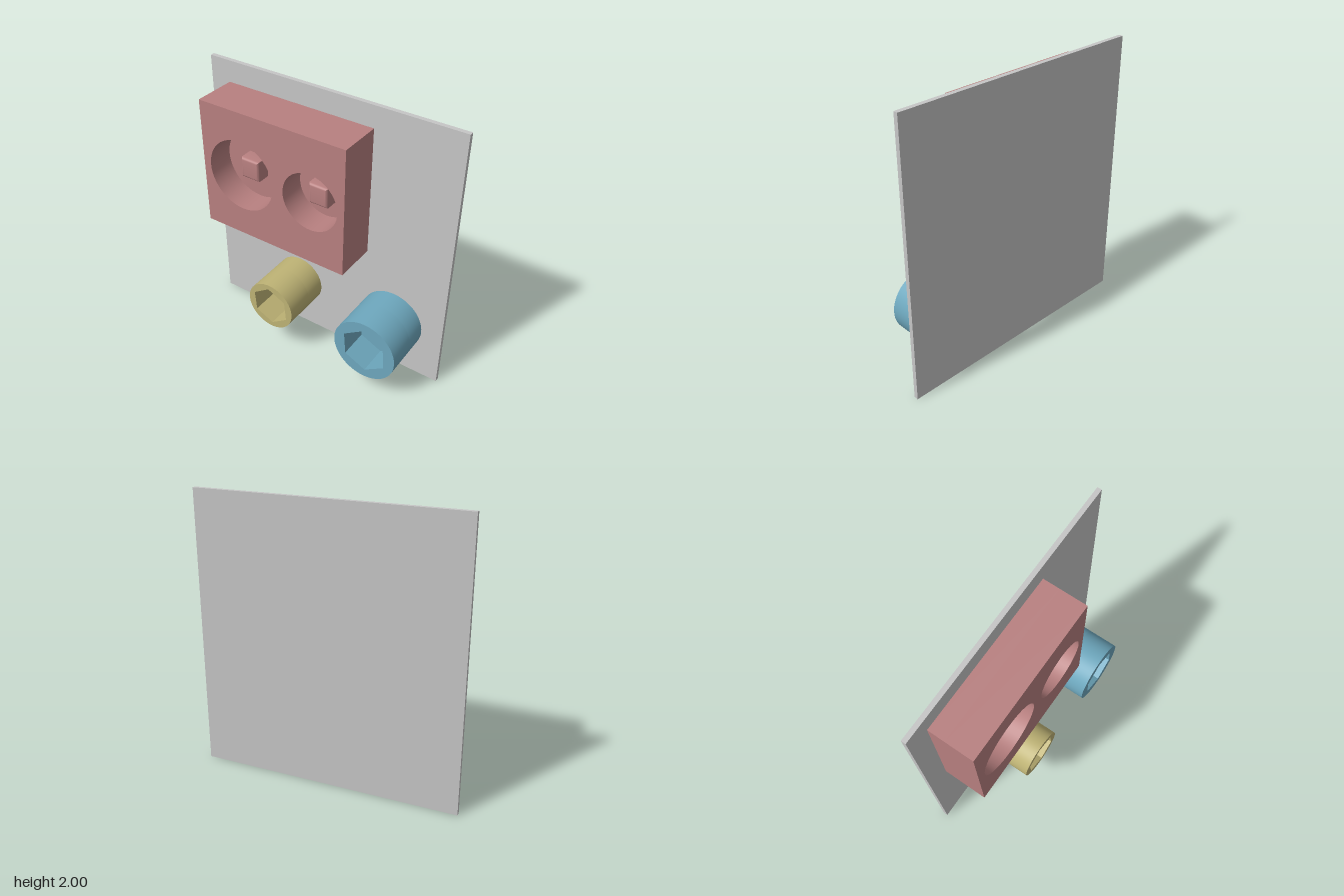
import * as THREE from 'three';
import { toCreasedNormals } from 'three/addons/utils/BufferGeometryUtils.js';

const PLATE_FRONT = -0.173;

function material(name, color) {
  const m = new THREE.MeshStandardMaterial({ color });
  m.name = name;
  return m;
}

function addMesh(parent, name, geometry, mat) {
  const mesh = new THREE.Mesh(geometry, mat);
  mesh.name = name;
  parent.add(mesh);
  return mesh;
}

// Regular polygon; many sides give a circle
function polygon(cx, cy, r, sides, start = 0) {
  return Array.from({ length: sides }, (_, i) => {
    const a = start + (i / sides) * Math.PI * 2;
    return new THREE.Vector2(cx + r * Math.cos(a), cy + r * Math.sin(a));
  });
}

function rectangle(x0, y0, x1, y1) {
  return [[x0, y0], [x1, y0], [x1, y1], [x0, y1]].map(p => new THREE.Vector2(...p));
}

// Prism along z between two depths, with optional holes
function prism(outline, holes, z0, z1) {
  const shape = new THREE.Shape(outline);
  shape.holes = holes.map(h => new THREE.Path(h));
  const geo = new THREE.ExtrudeGeometry(shape, { depth: z1 - z0, bevelEnabled: false });
  geo.translate(0, 0, z0);
  return toCreasedNormals(geo, 0.4);
}

// Solid base plus pierced front, making blind recesses
function recessedBlock(name, outline, holes, floorZ, frontZ, mat) {
  const group = new THREE.Group();
  group.name = name;
  addMesh(group, name + 'Base', prism(outline, [], PLATE_FRONT, floorZ), mat);
  addMesh(group, name + 'Front', prism(outline, holes, floorZ, frontZ), mat);
  return group;
}

// Square peg with rounded front edges
function pegGeometry(x, y, floorZ, frontZ) {
  const w = 0.0525, h = 0.055, bevel = 0.02;
  const shape = new THREE.Shape(rectangle(-w, -h, w, h));
  const geo = new THREE.ExtrudeGeometry(shape, {
    depth: frontZ - floorZ, bevelThickness: bevel, bevelSize: bevel, bevelSegments: 5,
  });
  geo.translate(x, y, floorZ - bevel);
  return toCreasedNormals(geo, 0.6);
}

export function createModel() {
  const model = new THREE.Group();
  model.name = 'wallPanel';
  const grey = material('grey', 0xc6c6c6);
  const red = material('dusty red', 0xb88080);
  const yellow = material('ochre', 0xbeb375);
  const blue = material('blue', 0x6ea8be);

  // Back plate
  const plate = addMesh(model, 'backPlate', new THREE.BoxGeometry(1.89, 2, 0.032), grey);
  plate.position.set(0, 1, -0.189);

  // Block with two round wells, each holding a peg
  const floorZ = -0.055;
  const wells = [{ x: -0.48, r: 0.26 }, { x: 0.07, r: 0.21 }];
  const block = recessedBlock('socketBlock', rectangle(-0.795, 0.905, 0.33, 1.845),
    wells.map(w => polygon(w.x, 1.375, w.r, 48)), floorZ, 0.14, red);
  for (const w of wells) addMesh(block, 'peg', pegGeometry(w.x, 1.375, floorZ, 0.05), red);
  model.add(block);

  // Two round posts with hexagonal recesses
  const tilt = THREE.MathUtils.degToRad(95);
  const posts = [
    { name: 'smallPost', x: -0.23, r: 0.1875, hex: 0.152, mat: yellow },
    { name: 'largePost', x: 0.555, r: 0.235, hex: 0.174, mat: blue },
  ];
  for (const p of posts) {
    model.add(recessedBlock(p.name, polygon(p.x, 0.395, p.r, 64),
      [polygon(p.x, 0.395, p.hex, 6, tilt)], -0.01, 0.204, p.mat));
  }
  return model;
}
